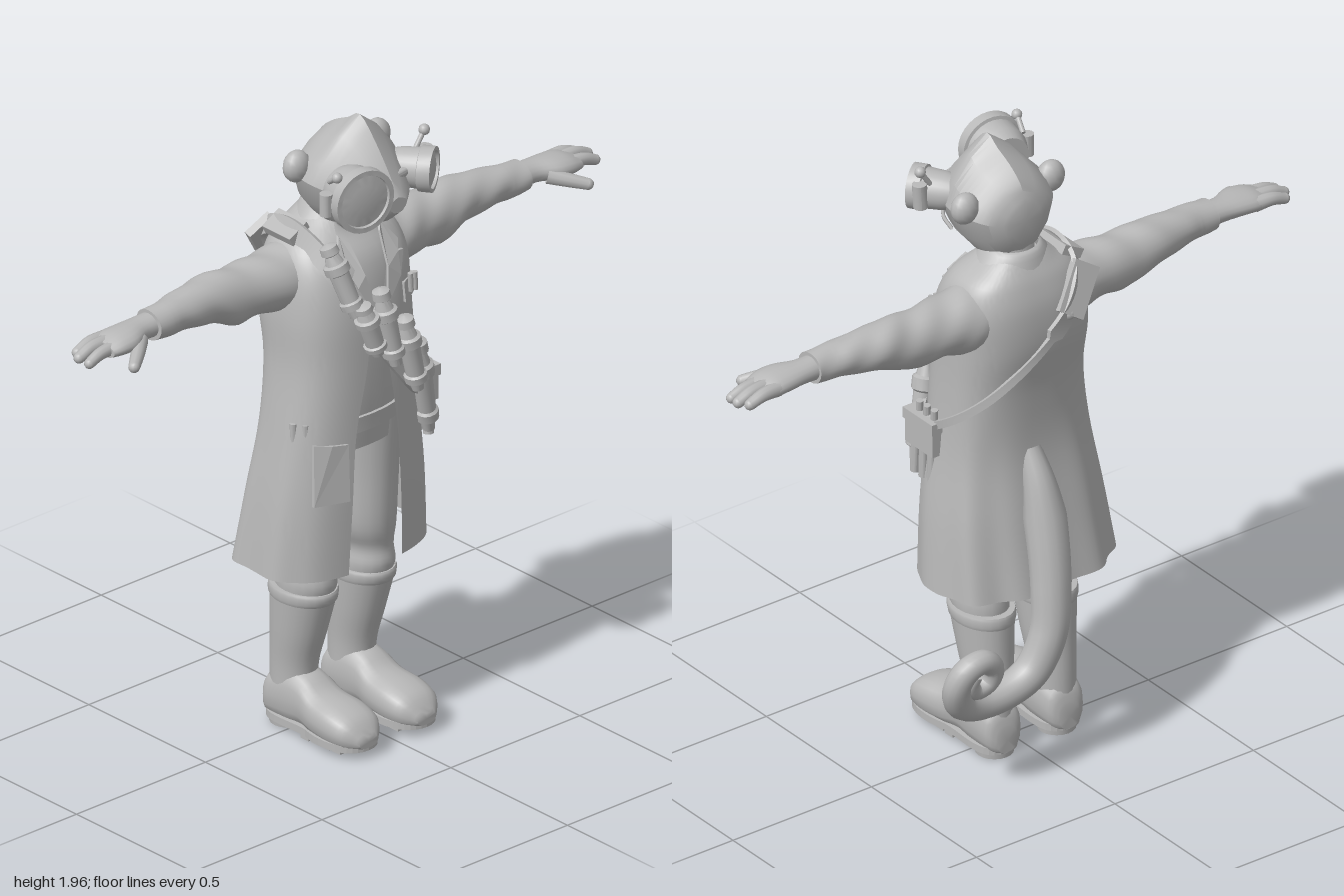
import * as THREE from 'three';
import { toCreasedNormals } from 'three/addons/utils/BufferGeometryUtils.js';

const V = (x, y, z) => new THREE.Vector3(x, y, z);
const clay = new THREE.MeshStandardMaterial({ color: 0xb8b8b8, side: THREE.DoubleSide });
clay.name = 'grey clay';

function add(parent, name, geo, pos = [0, 0, 0], rot = [0, 0, 0]) {
  const mesh = new THREE.Mesh(geo, clay);
  mesh.name = name;
  mesh.position.set(...pos);
  mesh.rotation.set(...rot);
  parent.add(mesh);
  return mesh;
}

// smooth interpolation of rows of section values
function sample(rows, n) {
  const last = rows.length - 1;
  return Array.from({ length: n + 1 }, (_, i) => {
    const u = (i / n) * last, k = Math.min(Math.floor(u), last - 1), f = u - k;
    const [a, b, c, d] = [k - 1, k, k + 1, k + 2].map(q => rows[THREE.MathUtils.clamp(q, 0, last)]);
    return b.map((v, s) => v + 0.5 * f * (c[s] - a[s] + f * (2 * a[s] - 5 * v + 4 * c[s] - d[s] + f * (3 * (v - c[s]) + d[s] - a[s]))));
  });
}

// skin through sections; point(row, u) gives a vertex with u from 0 to 1
function loft(rows, n, m, point, { open = false, crease = 0.7 } = {}) {
  const pos = [], idx = [], cols = open ? m + 1 : m;
  const rings = sample(rows, n).map(r => Array.from({ length: cols }, (_, j) => point(r, j / m)));
  rings.forEach(ring => ring.forEach(p => pos.push(p.x, p.y, p.z)));
  for (let i = 0; i < n; i++) for (let j = 0; j < m; j++) {
    const a = i * cols + j, b = i * cols + (j + 1) % cols;
    idx.push(a, b, a + cols, b, b + cols, a + cols);
  }
  if (!open) [0, n].forEach(i => {
    const c = rings[i].reduce((s, p) => s.add(p), V(0, 0, 0)).divideScalar(cols), k = pos.length / 3;
    pos.push(c.x, c.y, c.z);
    for (let j = 0; j < m; j++) {
      const a = i * cols + j, b = i * cols + (j + 1) % cols;
      i ? idx.push(a, b, k) : idx.push(b, a, k);
    }
  });
  const g = new THREE.BufferGeometry();
  g.setAttribute('position', new THREE.Float32BufferAttribute(pos, 3));
  g.setIndex(idx);
  return toCreasedNormals(g, crease);
}

const pw = (v, e) => Math.sign(v) * Math.abs(v) ** e;
// row: y, centre x, half width, front z, back z
const upright = (e = 0.85) => ([y, cx, hw, zf, zb], u) => {
  const t = u * Math.PI * 2;
  return V(cx + hw * pw(Math.sin(t), e), y, (zf + zb) / 2 + (zf - zb) / 2 * pw(Math.cos(t), e));
};

// tube tapered along its length
function taperTube(points, radius, n = 48, sides = 12) {
  const curve = new THREE.CatmullRomCurve3(points.map(p => V(...p)));
  const g = new THREE.TubeGeometry(curve, n, 1, sides), p = g.attributes.position;
  for (let i = 0; i < p.count; i++) {
    const f = Math.floor(i / (sides + 1)) / n, c = curve.getPointAt(f);
    const v = V(p.getX(i), p.getY(i), p.getZ(i)).sub(c).multiplyScalar(radius(f)).add(c);
    p.setXYZ(i, v.x, v.y, v.z);
  }
  return g;
}

// lathe profile stood between two points
function turned(parent, name, profile, from, to, sides = 14) {
  const a = V(...from), d = V(...to).sub(a), len = d.length();
  const g = new THREE.LatheGeometry(profile.map(([r, h]) => new THREE.Vector2(r, h * len)), sides);
  const mesh = add(parent, name, toCreasedNormals(g, 0.7), from);
  mesh.quaternion.setFromUnitVectors(V(0, 1, 0), d.normalize());
}
const rod = r => [[0, 0], [r, 0.01], [r, 0.99], [0, 1]];

// coat rows: y, centre x, half width, front z, back z, opening angle
const coatRows = [
  [0.56, -0.035, 0.295, 0.22, -0.18, 0.25], [0.78, -0.03, 0.275, 0.22, -0.145, 0.24],
  [1.0, -0.027, 0.245, 0.215, -0.115, 0.22], [1.2, -0.02, 0.225, 0.21, -0.125, 0.1],
  [1.36, -0.02, 0.222, 0.2, -0.155, 0.05], [1.48, -0.01, 0.215, 0.175, -0.155, 0.16],
  [1.56, -0.005, 0.185, 0.13, -0.135, 0.35], [1.61, 0, 0.12, 0.085, -0.11, 0.5], [1.64, 0, 0.08, 0.06, -0.09, 0.6],
];
const coatRings = sample(coatRows, 120);
function frontZ(x, y) {
  const r = coatRings.reduce((a, b) => Math.abs(b[0] - y) < Math.abs(a[0] - y) ? b : a);
  const s = Math.min(0.97, Math.abs((x - r[1]) / r[2])) ** (1 / 0.75);
  return (r[3] + r[4]) / 2 + (r[3] - r[4]) / 2 * Math.sqrt(1 - s * s) ** 0.75;
}
// cloth panel laid over the front of the coat
function panel(parent, name, pts) {
  const shape = new THREE.Shape(pts.map(p => new THREE.Vector2(...p)));
  const g = new THREE.ExtrudeGeometry(shape, { depth: 0.01, bevelEnabled: false }), p = g.attributes.position;
  for (let i = 0; i < p.count; i++) p.setZ(i, p.getZ(i) + frontZ(p.getX(i), p.getY(i)));
  g.computeVertexNormals();
  add(parent, name, g);
}

function goggle(parent, name, pos, yaw, r, len) {
  const g = new THREE.Group();
  g.name = name;
  g.position.set(...pos);
  g.rotation.y = yaw;
  parent.add(g);
  turned(g, 'goggleBarrel', [[0, 0], [r * 0.7, 0], [r * 0.85, 0.3], [r * 0.9, 0.7], [r, 0.72], [r, 1], [r * 0.84, 1], [r * 0.82, 0.93], [r * 0.5, 0.98], [0, 1]], [0, 0, -len / 2], [0, 0, len / 2], 28);
}

export function createModel() {
  const model = new THREE.Group();
  model.name = 'lizardScientist';

  // head with a peaked crest; row: z, top, middle, bottom, half width
  const half = [[0, 1], [0.45, 0.74], [0.85, 0.36], [1, 0], [0.85, -0.45], [0.5, -0.85], [0, -1]];
  const outline = [...half, ...half.slice(1, -1).reverse().map(([x, y]) => [-x, y])];
  add(model, 'head', loft([
    [-0.075, 1.81, 1.75, 1.68, 0.06], [-0.05, 1.86, 1.76, 1.63, 0.115], [0, 1.9, 1.77, 1.6, 0.15], [0.06, 1.93, 1.77, 1.6, 0.16],
    [0.11, 1.957, 1.76, 1.61, 0.145], [0.17, 1.9, 1.75, 1.63, 0.12], [0.23, 1.82, 1.74, 1.66, 0.085], [0.275, 1.75, 1.73, 1.7, 0.035],
  ], 21, 12, ([z, top, mid, bot, w], u) => {
    const [x, y] = outline[Math.round(u * 12)];
    return V(-x * w, mid + y * (y > 0 ? top - mid : mid - bot), z);
  }, { crease: 0.5 }));
  add(model, 'neck', loft([[1.5, 0, 0.1, 0.1, -0.1], [1.6, 0, 0.075, 0.09, -0.07], [1.7, 0, 0.085, 0.11, -0.05]], 8, 18, upright()));
  for (const s of [-1, 1]) {
    add(model, 'ear', new THREE.SphereGeometry(0.045, 14, 10), [s * 0.155, 1.805, 0.01]).scale.set(1, 1.1, 0.8);
    add(model, 'mouthCrease', taperTube([[s * 0.135, 1.69, 0.1], [s * 0.105, 1.69, 0.18], [0, 1.705, 0.272]], () => 0.006, 12, 6));
  }

  // goggles and their fittings
  goggle(model, 'largeGoggle', [-0.135, 1.79, 0.235], -0.15, 0.098, 0.12);
  goggle(model, 'smallGoggle', [0.125, 1.775, 0.19], 0.6, 0.068, 0.14);
  turned(model, 'goggleBridge', rod(0.014), [-0.06, 1.79, 0.24], [0.1, 1.785, 0.21]);
  for (const [a, b, r] of [[[-0.2, 1.84, 0.2], [-0.215, 1.875, 0.25], 0.016], [[0.15, 1.8, 0.17], [0.195, 1.865, 0.17], 0.017]]) {
    turned(model, 'goggleStalk', rod(0.008), a, b);
    add(model, 'stalkKnob', new THREE.SphereGeometry(r, 12, 8), b);
  }
  turned(model, 'sideLens', rod(0.022), [0.185, 1.74, 0.18], [0.19, 1.82, 0.18]);
  turned(model, 'sideLens', rod(0.02), [-0.23, 1.75, 0.22], [-0.23, 1.82, 0.22]);

  // shirt, coat and collar
  add(model, 'shirt', loft([[0.92, -0.02, 0.19, 0.165, -0.08], [1.1, -0.02, 0.19, 0.18, -0.09], [1.35, -0.01, 0.19, 0.18, -0.12], [1.5, 0, 0.17, 0.15, -0.12], [1.58, 0, 0.12, 0.09, -0.09], [1.62, 0, 0.08, 0.08, -0.07]], 24, 28, upright()));
  add(model, 'coat', loft(coatRows, 40, 96, ([y, cx, hw, zf, zb, gap], u) => {
    const t = gap + u * (Math.PI * 2 - 2 * gap), k = 1 + Math.max(0, 1.15 - y) * 0.07 * Math.sin(t * 9 + y) * Math.sin(t / 2) ** 2;
    return V(cx + hw * k * pw(Math.sin(t), 0.75), y, (zf + zb) / 2 + (zf - zb) / 2 * k * pw(Math.cos(t), 0.75));
  }, { open: true, crease: 1 }));
  add(model, 'collar', loft([[1.6, 0, 0.125, 0.09, -0.115], [1.645, 0, 0.09, 0.08, -0.1], [1.655, 0, 0.078, 0.07, -0.085]], 6, 28, ([y, cx, hw, zf, zb], u) => {
    const t = 0.6 + u * (Math.PI * 2 - 1.2);
    return V(hw * Math.sin(t), y, (zf + zb) / 2 + (zf - zb) / 2 * Math.cos(t));
  }, { open: true }));
  for (const s of [-1, 1]) {
    panel(model, 'lapel', [[0.02, 1.37], [0.09, 1.44], [0.125, 1.5], [0.1, 1.505], [0.12, 1.53], [0.08, 1.59], [0.06, 1.57], [0.045, 1.48]].map(([x, y]) => [x * s, y]));
  }
  panel(model, 'breastPocket', [[0.1, 1.35], [0.165, 1.35], [0.17, 1.41], [0.1, 1.41]]);
  panel(model, 'hipPocket', [[-0.245, 0.8], [-0.14, 0.8], [-0.14, 0.98], [-0.19, 0.985], [-0.235, 0.99]]);
  for (const x of [0.135, 0.152]) turned(model, 'breastPen', rod(0.008), [x, 1.37, 0.18], [x - 0.005, 1.43, 0.182]);
  for (const [x, z] of [[-0.255, 0.11], [-0.235, 0.14]]) turned(model, 'hipPen', rod(0.011), [x, 0.94, z], [x - 0.003, 1.05, z]);
  add(model, 'belt', loft([[0.98, -0.02, 0.19, 0.182, -0.09], [1.03, -0.02, 0.19, 0.186, -0.09]], 2, 28, upright()));

  // arms with sleeves and hands, mirrored; row: x, y, z, half height, half depth
  for (const s of [-1, 1]) {
    const arm = new THREE.Group();
    arm.name = s > 0 ? 'leftArm' : 'rightArm';
    arm.scale.x = s;
    model.add(arm);
    const across = ([x, y, z, ry, rz], u) => V(x, y + ry * Math.cos(u * 2 * Math.PI), z + rz * Math.sin(u * 2 * Math.PI));
    add(arm, 'sleeve', loft([[0.1, 1.465, -0.01, 0.1, 0.1], [0.2, 1.46, -0.012, 0.096, 0.1], [0.3, 1.46, -0.015, 0.086, 0.085], [0.4, 1.46, -0.015, 0.088, 0.076], [0.5, 1.478, -0.015, 0.07, 0.07], [0.6, 1.48, -0.008, 0.057, 0.06], [0.66, 1.48, 0, 0.052, 0.055], [0.72, 1.48, 0, 0.047, 0.054]], 48, 24, ([x, y, z, ry, rz], u) => {
      const k = 1 + 0.045 * Math.sin(x * 46 + u * 12.566) * Math.sin(u * 6.283 + x * 5);
      return across([x, y, z, ry * k, rz * k], u);
    }));
    add(arm, 'hand', loft([[0.7, 1.48, 0, 0.038, 0.042], [0.76, 1.48, 0, 0.034, 0.045], [0.82, 1.478, 0.01, 0.035, 0.062], [0.87, 1.475, 0.01, 0.032, 0.064], [0.91, 1.47, 0.01, 0.022, 0.054]], 16, 18, across));
    for (const [a, b, c, r] of [
      [[0.86, 1.475, -0.03], [0.92, 1.475, -0.035], [0.965, 1.46, -0.035], 0.024], [[0.87, 1.478, -0.002], [0.94, 1.477, -0.005], [0.985, 1.46, -0.005], 0.024],
      [[0.87, 1.475, 0.03], [0.94, 1.47, 0.032], [0.98, 1.455, 0.034], 0.023], [[0.79, 1.47, 0.04], [0.835, 1.455, 0.08], [0.88, 1.44, 0.115], 0.025],
    ]) {
      add(arm, 'finger', taperTube([a, b, c], f => r * (1 - 0.3 * f), 10, 10));
      add(arm, 'fingertip', new THREE.SphereGeometry(r * 0.7, 10, 8), c);
    }
  }

  // legs: trousers, boot shafts, feet and soles
  for (const cx of [0.09, -0.135]) {
    const leg = new THREE.Group();
    leg.name = cx > 0 ? 'leftLeg' : 'rightLeg';
    leg.position.x = cx;
    model.add(leg);
    const lean = cx > 0 ? -0.01 : 0.01;
    add(leg, 'trouserLeg', loft([[0.4, 0, 0.07, 0.1, -0.07], [0.48, 0, 0.08, 0.13, -0.075], [0.54, 0, 0.075, 0.125, -0.07], [0.62, lean, 0.092, 0.14, -0.08], [0.8, lean, 0.098, 0.15, -0.09], [1.02, lean, 0.11, 0.165, -0.085]], 24, 20, upright(1)));
    add(leg, 'bootShaft', loft([[0.08, 0, 0.064, 0.05, -0.1], [0.2, 0, 0.066, 0.055, -0.1], [0.32, 0, 0.077, 0.09, -0.095], [0.45, 0, 0.087, 0.13, -0.095]], 16, 24, upright(1)));
    add(leg, 'bootRim', loft([[0.425, 0, 0.086, 0.124, -0.097], [0.435, 0, 0.089, 0.13, -0.1], [0.455, 0, 0.09, 0.134, -0.1], [0.465, 0, 0.087, 0.13, -0.097]], 6, 24, upright(1)));
    // row: z, top, bottom, half width
    add(leg, 'bootFoot', loft([[-0.108, 0.1, 0.02, 0.035], [-0.085, 0.16, 0.015, 0.062], [0, 0.195, 0.015, 0.068], [0.06, 0.185, 0.025, 0.068], [0.12, 0.15, 0.022, 0.077], [0.2, 0.138, 0.02, 0.084], [0.26, 0.115, 0.025, 0.073], [0.298, 0.07, 0.035, 0.035]], 28, 20, ([z, top, bot, w], u) => {
      const t = u * 2 * Math.PI;
      return V(-w * pw(Math.sin(t), 0.8), (top + bot) / 2 + (top - bot) / 2 * pw(Math.cos(t), 0.7), z);
    }));
    const sole = new THREE.Shape();
    sole.moveTo(0, -0.108).bezierCurveTo(0.1, -0.108, 0.06, 0.02, 0.07, 0.1).bezierCurveTo(0.1, 0.2, 0.08, 0.297, 0, 0.297).bezierCurveTo(-0.08, 0.297, -0.1, 0.2, -0.07, 0.1).bezierCurveTo(-0.06, 0.02, -0.1, -0.108, 0, -0.108);
    add(leg, 'sole', new THREE.ExtrudeGeometry(sole, { depth: 0.022, bevelEnabled: false }), [0, 0.042, 0], [Math.PI / 2 - 0.02, 0, 0]);
    add(leg, 'heel', new THREE.CylinderGeometry(0.06, 0.057, 0.03, 20), [0, 0.015, -0.045]);
    for (let i = 0; i < 4; i++) add(leg, 'tread', new THREE.BoxGeometry(0.125, 0.015, 0.035), [0, 0.013 + i * 0.002, 0.09 + i * 0.045]);
  }

  // curled tail
  add(model, 'tail', taperTube([
    [0, 1.0, -0.09], [0, 0.9, -0.14], [0.005, 0.75, -0.185], [0.015, 0.6, -0.215], [0.035, 0.46, -0.23], [0.09, 0.345, -0.22], [0.17, 0.3, -0.21], [0.27, 0.293, -0.21], [0.35, 0.33, -0.225],
    [0.38, 0.405, -0.25], [0.355, 0.463, -0.268], [0.3, 0.474, -0.27], [0.26, 0.435, -0.262], [0.268, 0.385, -0.25], [0.31, 0.37, -0.245], [0.335, 0.4, -0.25], [0.32, 0.43, -0.255],
  ], f => Math.min(0.035 + f * 0.2, 0.066 - 0.04 * f ** 1.6), 120, 14));

  // bandolier strap: flat band around the body
  const strap = new THREE.CatmullRomCurve3([[-0.165, 1.6, 0], [-0.145, 1.52, 0.15], [-0.07, 1.36, 0.21], [0.04, 1.2, 0.215], [0.14, 1.08, 0.2], [0.212, 1.06, 0.12], [0.22, 1.12, 0.0], [0.15, 1.22, -0.108], [0, 1.36, -0.16], [-0.1, 1.47, -0.162], [-0.155, 1.57, -0.115]].map(p => V(...p)), true);
  add(model, 'bandolierStrap', loft([[0], [1]], 90, 4, ([f], u) => {
    const p = strap.getPointAt(f % 1), tan = strap.getTangentAt(f % 1), out = V(p.x + 0.01, 0.2 * (p.y - 1.3), p.z - 0.03).normalize();
    const side = V(0, 0, 0).crossVectors(tan, out).normalize(), w = f > 0.5 && f < 0.8 ? 0.012 : 0.03;
    return p.addScaledVector(side, u === 0 || u === 0.75 ? w : -w).addScaledVector(out, u < 0.5 ? 0.007 : -0.007);
  }));
  add(model, 'shoulderPad', new THREE.BoxGeometry(0.09, 0.16, 0.025), [-0.13, 1.51, -0.15], [0.3, 0, 0.6]);
  add(model, 'strapStud', new THREE.SphereGeometry(0.022, 12, 8), [-0.09, 1.45, -0.16]);
  add(model, 'shoulderClasp', new THREE.BoxGeometry(0.075, 0.03, 0.12), [-0.16, 1.595, -0.03], [0, 0, 0.5]);

  // vials along the strap
  const vial = [[0, 0], [0.018, 0.02], [0.021, 0.12], [0.034, 0.14], [0.035, 0.22], [0.028, 0.24], [0.03, 0.6], [0.038, 0.62], [0.038, 0.72], [0.028, 0.74], [0.02, 0.85], [0.028, 0.87], [0.026, 0.96], [0, 1]];
  for (const [lower, upper] of [
    [[-0.11, 1.38, 0.22], [-0.165, 1.61, 0.15]], [[-0.05, 1.25, 0.245], [-0.11, 1.43, 0.24]], [[0.01, 1.2, 0.255], [-0.04, 1.46, 0.24]],
    [[0.1, 1.09, 0.25], [0.04, 1.35, 0.255]], [[0.205, 0.9, 0.18], [0.12, 1.24, 0.225]],
  ]) turned(model, 'vial', vial, lower, upper);

  // hip pouch with tools and hanging tubes
  add(model, 'pouch', new THREE.BoxGeometry(0.05, 0.11, 0.13), [0.22, 1.04, 0.11]);
  add(model, 'pouchFlap', new THREE.BoxGeometry(0.06, 0.035, 0.14), [0.221, 1.08, 0.11]);
  for (let i = 0; i < 3; i++) {
    turned(model, 'pouchTool', rod(0.011), [0.22, 1.07, 0.07 + i * 0.035], [0.223, 1.13, 0.065 + i * 0.035]);
    turned(model, 'hangingTube', rod(0.016), [0.216, 0.88, 0.085 + i * 0.04], [0.218, 1.0, 0.08 + i * 0.038]);
  }
  return model;
}
